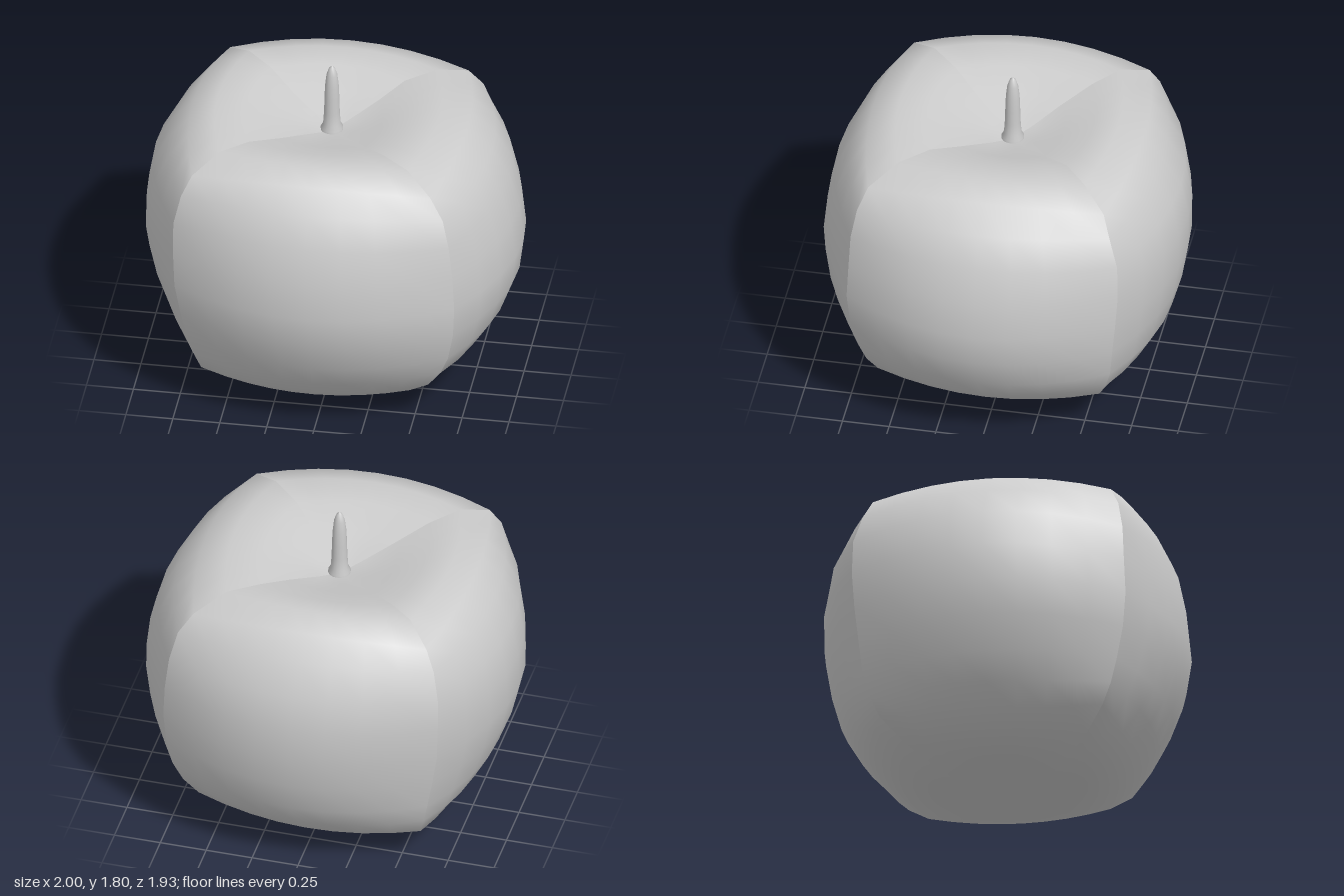
import * as THREE from 'three';

const STEPS = 8; // steps along each of the four sides

// Body rings from the stem hollow over the shoulder to the base hollow:
// [half width x, half depth z, corner ratio, y at side middles, y at corners, centre x, centre z]
const RINGS = [
  [0.13, 0.13, 0.75, 1.43, 1.43, -0.03, -0.01],
  [0.28, 0.28, 0.81, 1.48, 1.475, -0.04, 0],
  [0.43, 0.44, 0.83, 1.535, 1.525, -0.05, 0],
  [0.59, 0.585, 0.85, 1.56, 1.535, -0.04, 0.01],
  [0.73, 0.725, 0.87, 1.515, 1.46, -0.03, 0.01],
  [0.85, 0.825, 0.82, 1.395, 1.355, -0.02, 0.01],
  [0.94, 0.915, 0.78, 1.235, 1.2, -0.02, 0],
  [0.985, 0.955, 0.755, 1.04, 1.02, -0.01, 0],
  [1.0, 0.965, 0.745, 0.84, 0.83, 0, 0.01],
  [0.967, 0.935, 0.75, 0.655, 0.65, 0.01, 0.01],
  [0.9, 0.875, 0.77, 0.475, 0.48, 0.01, 0],
  [0.81, 0.79, 0.81, 0.33, 0.36, 0, 0],
  [0.695, 0.68, 0.87, 0.21, 0.25, -0.02, 0],
  [0.57, 0.56, 0.86, 0.12, 0.14, -0.02, 0.01],
  [0.43, 0.42, 0.86, 0.065, 0.06, -0.03, 0.02],
  [0.28, 0.28, 0.88, 0.045, 0.012, -0.03, 0.02],
  [0.13, 0.13, 0.8, 0.07, 0.065, -0.02, 0.01],
];

// Four bowed sides, each with its own vertices so the corners stay creased
function bodyGeometry() {
  const points = [];
  const faces = [];
  const row = STEPS + 1;
  const last = RINGS.length - 1;
  for (let side = 0; side < 4; side++) {
    const start = points.length / 3;
    const c = Math.round(Math.cos(side * Math.PI / 2));
    const s = Math.round(Math.sin(side * Math.PI / 2));
    for (const [a, b, corner, yMid, yCorner, cx, cz] of RINGS) {
      for (let j = 0; j <= STEPS; j++) {
        const u = (j / STEPS) * 2 - 1;
        const out = 1 - (1 - corner) * u * u;
        const along = corner * u;
        const x = cx + a * (c * out - s * along);
        const z = cz + b * (s * out + c * along);
        const y = yMid + (yCorner - yMid) * u * u;
        // slight lean of the shoulder and base
        points.push(x, y + 0.02 * x * (0.85 - y), z);
      }
    }
    // centres of the two hollows
    const top = points.length / 3;
    points.push(-0.025, 1.4, -0.01, -0.02, 0.085, 0);
    for (let j = 0; j < STEPS; j++) {
      for (let i = 0; i < last; i++) {
        const A = start + i * row + j, C = A + row;
        faces.push(A, A + 1, C, A + 1, C + 1, C);
      }
      const end = start + last * row + j;
      faces.push(top, start + j + 1, start + j, top + 1, end, end + 1);
    }
  }
  const geometry = new THREE.BufferGeometry();
  geometry.setAttribute('position', new THREE.Float32BufferAttribute(points, 3));
  geometry.setIndex(faces);
  geometry.computeVertexNormals();
  return geometry;
}

// Stem with a flared foot and a rounded tip
function stemGeometry() {
  const profile = [
    [0.06, 1.39], [0.06, 1.425], [0.047, 1.45], [0.042, 1.52], [0.04, 1.6],
    [0.037, 1.68], [0.029, 1.75], [0.016, 1.79], [0, 1.805],
  ].map(([r, y]) => new THREE.Vector2(r, y));
  return new THREE.LatheGeometry(profile, 16);
}

export function createModel() {
  const model = new THREE.Group();
  model.name = 'apple';
  const grey = new THREE.MeshStandardMaterial({ color: 0xcccccc });

  const body = new THREE.Mesh(bodyGeometry(), grey);
  body.name = 'body';

  const stem = new THREE.Mesh(stemGeometry(), grey);
  stem.name = 'stem';
  stem.position.set(-0.025, 0, -0.012);

  model.add(body, stem);
  return model;
}
